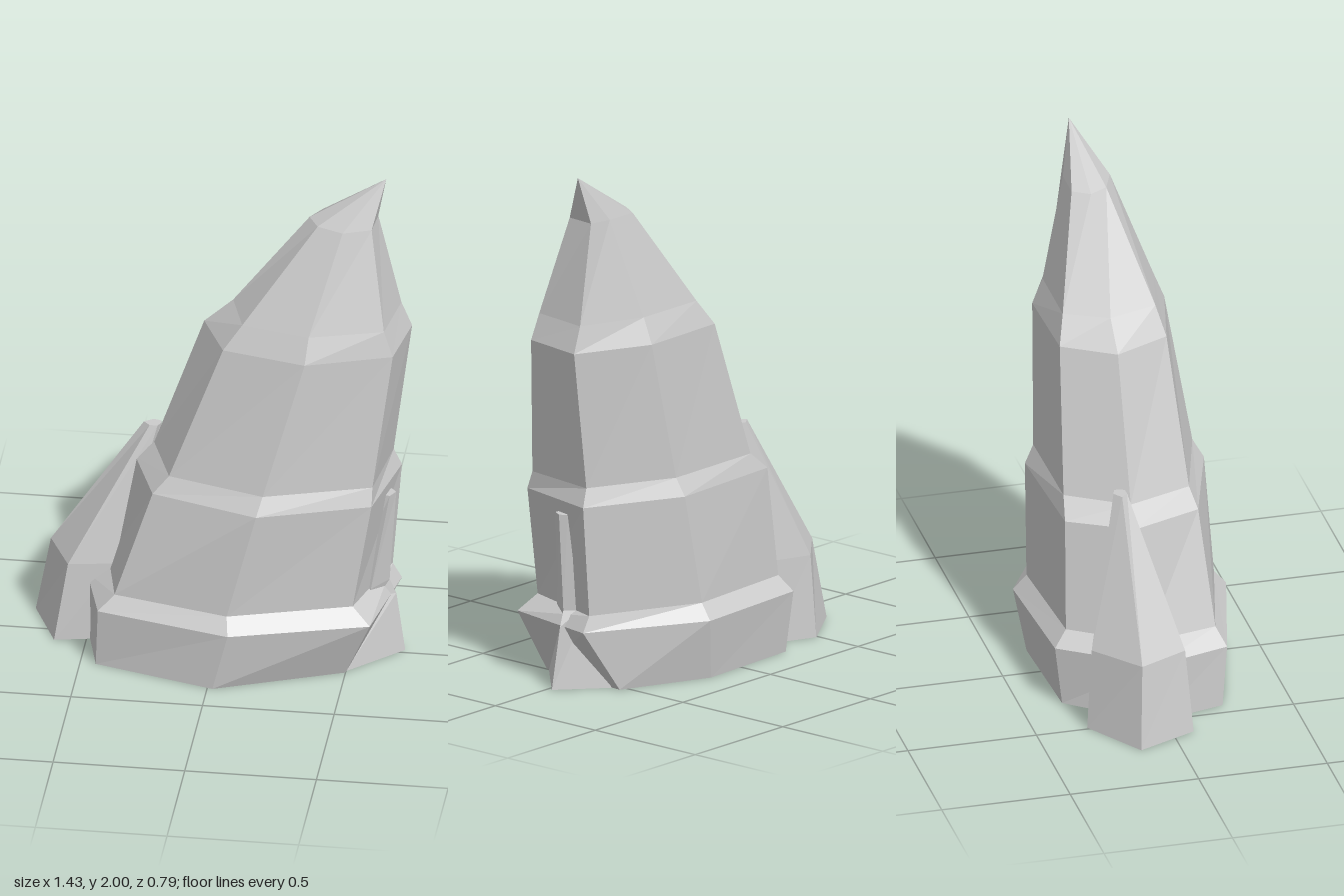
import * as THREE from 'three';

const material = new THREE.MeshStandardMaterial({ color: 0xcccccc, flatShading: true, side: THREE.DoubleSide });

// Joins cross-sections { y, p: [[x, z], ...] } from bottom to top and caps both ends.
// Corners run right, front, left, back.
function loft(name, sections) {
  const pos = [];
  const tri = (...corners) => corners.forEach((c) => pos.push(...c));
  const rings = sections.map(({ y, p }) => p.map(([x, z]) => [x, y, z]));
  const n = rings[0].length;
  const middle = (ring) => [0, 1, 2].map((k) => ring.reduce((sum, c) => sum + c[k], 0) / n);
  for (let r = 0; r < rings.length - 1; r++) {
    for (let i = 0; i < n; i++) {
      const j = (i + 1) % n;
      const [a, b, c, d] = [rings[r][i], rings[r][j], rings[r + 1][j], rings[r + 1][i]];
      tri(a, d, b);
      tri(b, d, c);
    }
  }
  const low = rings[0], high = rings[rings.length - 1];
  for (let i = 0; i < n; i++) {
    const j = (i + 1) % n;
    tri(low[i], low[j], middle(low));
    tri(high[j], high[i], middle(high));
  }
  const geometry = new THREE.BufferGeometry();
  geometry.setAttribute('position', new THREE.Float32BufferAttribute(pos, 3));
  geometry.computeVertexNormals();
  const mesh = new THREE.Mesh(geometry, material);
  mesh.name = name;
  return mesh;
}

export function createModel() {
  const model = new THREE.Group();
  model.name = 'rockSpire';

  // Leaning seven-sided spire with stepped ledges
  const tip = Array.from({ length: 7 }, () => [0.62, -0.08]);
  model.add(loft('spire', [
    { y: 0, p: [[0.53, -0.21], [0.5, 0.18], [0.02, 0.37], [-0.44, 0.24], [-0.51, -0.04], [-0.27, -0.34], [0.18, -0.36]] },
    { y: 0.24, p: [[0.67, -0.15], [0.6, 0.24], [0.08, 0.39], [-0.43, 0.26], [-0.51, -0.03], [-0.28, -0.37], [0.23, -0.4]] },
    { y: 0.3, p: [[0.635, -0.15], [0.53, 0.2], [0.07, 0.34], [-0.37, 0.23], [-0.43, -0.05], [-0.25, -0.32], [0.22, -0.35]] },
    { y: 0.73, p: [[0.67, -0.15], [0.6, 0.19], [0.18, 0.33], [-0.23, 0.2], [-0.33, -0.07], [-0.2, -0.31], [0.3, -0.335]] },
    { y: 0.8, p: [[0.64, -0.14], [0.6, 0.165], [0.2, 0.29], [-0.17, 0.18], [-0.26, -0.07], [-0.12, -0.295], [0.31, -0.3]] },
    { y: 1.34, p: [[0.71, -0.14], [0.67, 0.11], [0.35, 0.22], [0.03, 0.145], [-0.07, -0.07], [0.05, -0.265], [0.42, -0.275]] },
    { y: 1.44, p: [[0.67, -0.135], [0.635, 0.1], [0.36, 0.18], [0.1, 0.12], [0.04, -0.07], [0.12, -0.235], [0.42, -0.235]] },
    { y: 1.82, p: [[0.585, -0.115], [0.575, 0], [0.47, 0.04], [0.37, 0], [0.33, -0.07], [0.37, -0.135], [0.5, -0.135]] },
    { y: 2, p: tip },
  ]));

  // Slab leaning against the low side
  model.add(loft('sideRock', [
    { y: 0, p: [[-0.3, -0.09], [-0.42, 0.04], [-0.62, 0.08], [-0.72, -0.15], [-0.49, -0.3], [-0.31, -0.225]] },
    { y: 0.32, p: [[-0.28, -0.09], [-0.39, 0.03], [-0.57, 0.06], [-0.66, -0.13], [-0.48, -0.28], [-0.29, -0.21]] },
    { y: 0.86, p: [[-0.24, -0.11], [-0.25, -0.09], [-0.28, -0.09], [-0.305, -0.115], [-0.27, -0.14], [-0.24, -0.13]] },
  ]));

  // Thin splinter on the steep side, flaring into a foot
  model.add(loft('splinter', [
    { y: 0, p: [[0.7, -0.02], [0.5, 0.17], [0.45, 0], [0.53, -0.17]] },
    { y: 0.24, p: [[0.665, -0.03], [0.6, 0.01], [0.5, 0], [0.6, -0.07]] },
    { y: 0.3, p: [[0.64, -0.025], [0.58, 0.06], [0.5, 0], [0.6, -0.07]] },
    { y: 0.68, p: [[0.665, -0.025], [0.645, 0.01], [0.58, 0], [0.645, -0.05]] },
  ]));

  return model;
}
